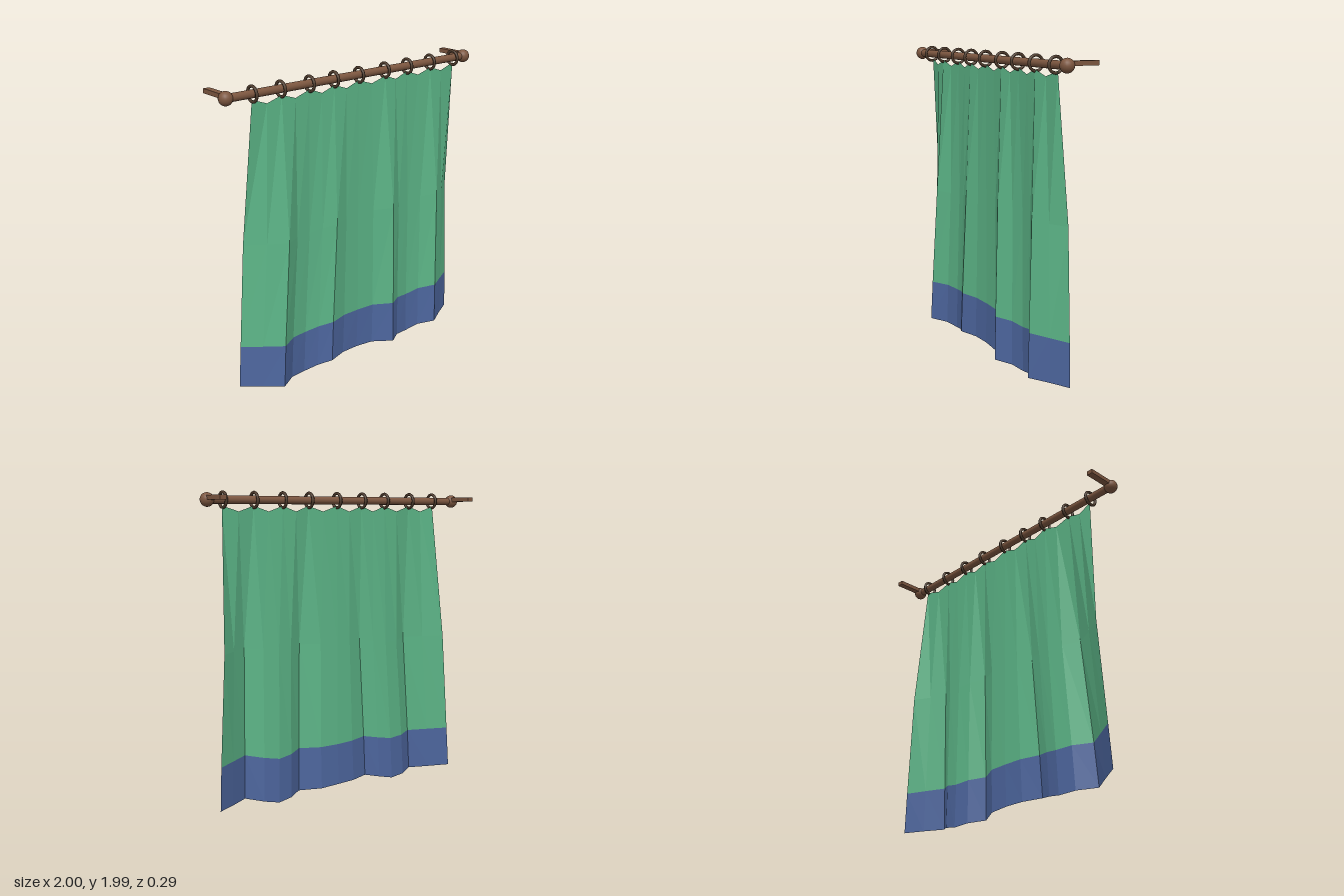
import * as THREE from 'three';

const ROD_Y = 1.935, ROD_Z = 0.055;
const RINGS = [-0.78, -0.58, -0.367, -0.18, 0.02, 0.235, 0.43, 0.635, 0.85];

// Insert the halfway value between neighbours, so each ring gap has two strips
const halve = (a) => a.flatMap((v, i) => (i ? [(a[i - 1] + v) / 2, v] : [v]));

// Depth of each fold at the hem
const FOLD = [-0.02, 0.06, 0.14, 0.065, 0.045, 0.065, 0.105, 0.06, 0.05, 0.055, 0.13, 0.06, 0.04, 0.055, 0.125, 0.05, -0.02];

// Rows of cloth from the rings down to the hem
const topX = halve(RINGS);
const topRow = topX.map((x, i) => [x + (i === 16 ? 0.01 : 0), i % 2 ? 1.865 : 1.9, 0.055 + (FOLD[i] - 0.055) * 0.1]);
const row = (xs, ys, spread) => {
  const x = halve(xs), y = halve(ys);
  return FOLD.map((f, i) => {
    const k = i === 0 || i === 16 ? 0.95 : spread;
    return [x[i], y[i], 0.055 + (f - 0.055) * k];
  });
};
const midRow = row(
  [-0.84, -0.59, -0.38, -0.19, 0.02, 0.28, 0.475, 0.69, 0.895],
  [1.0, 0.99, 0.98, 1.01, 1.01, 1.01, 0.99, 1.02, 1.01], 0.75);
const bandRow = row(
  [-0.89, -0.65, -0.425, -0.235, 0.02, 0.28, 0.48, 0.69, 0.93],
  [0.325, 0.31, 0.30, 0.33, 0.32, 0.315, 0.292, 0.33, 0.318], 0.93);
const hemRow = row(
  [-0.91, -0.67, -0.44, -0.25, 0.01, 0.28, 0.485, 0.69, 0.94],
  [0.05, 0.03, 0.015, 0.052, 0.044, 0.026, 0.003, 0.045, 0.042], 1);

// Skin a sheet through rows ordered top to bottom
function sheet(rows) {
  const n = rows[0].length, index = [];
  for (let r = 0; r < rows.length - 1; r++) {
    for (let i = 0; i < n - 1; i++) {
      const a = r * n + i, b = a + n;
      index.push(a, b, a + 1, a + 1, b, b + 1);
    }
  }
  const g = new THREE.BufferGeometry();
  g.setAttribute('position', new THREE.Float32BufferAttribute(rows.flat(2), 3));
  g.setIndex(index);
  g.computeVertexNormals();
  return g;
}

export function createModel() {
  const group = new THREE.Group();
  const wood = new THREE.MeshStandardMaterial({ color: 0x7d5740 });
  const darkWood = new THREE.MeshStandardMaterial({ color: 0x4d3a2b });
  const cloth = (color) => new THREE.MeshStandardMaterial({ color, flatShading: true, side: THREE.DoubleSide });
  const add = (name, geometry, material, x = 0, y = 0, z = 0) => {
    const m = new THREE.Mesh(geometry, material);
    m.name = name;
    m.position.set(x, y, z);
    group.add(m);
    return m;
  };

  // Rod with ball ends and wall brackets
  add('rod', new THREE.CylinderGeometry(0.025, 0.025, 1.92, 20), wood, 0, ROD_Y, 0.05).rotation.z = Math.PI / 2;
  for (const [side, s] of [['left', 1], ['right', -1]]) {
    add(side + 'Finial', new THREE.SphereGeometry(0.043, 20, 14), wood, s * 0.957, ROD_Y, 0.05);
    add(side + 'Bracket', new THREE.BoxGeometry(0.042, 0.028, 0.2), wood, s * 0.955, ROD_Y + 0.012, -0.05);
  }

  // Rings threaded on the rod
  const ring = new THREE.TorusGeometry(0.046, 0.0095, 8, 24);
  RINGS.forEach((x, i) => {
    add('ring' + (i + 1), ring, darkWood, x, ROD_Y, ROD_Z).rotation.y = Math.PI / 2;
  });

  // Pleated curtain and its contrasting hem band
  add('curtain', sheet([topRow, midRow, bandRow]), cloth(0x5cb587));
  add('hemBand', sheet([bandRow, hemRow]), cloth(0x4d669e));

  return group;
}
